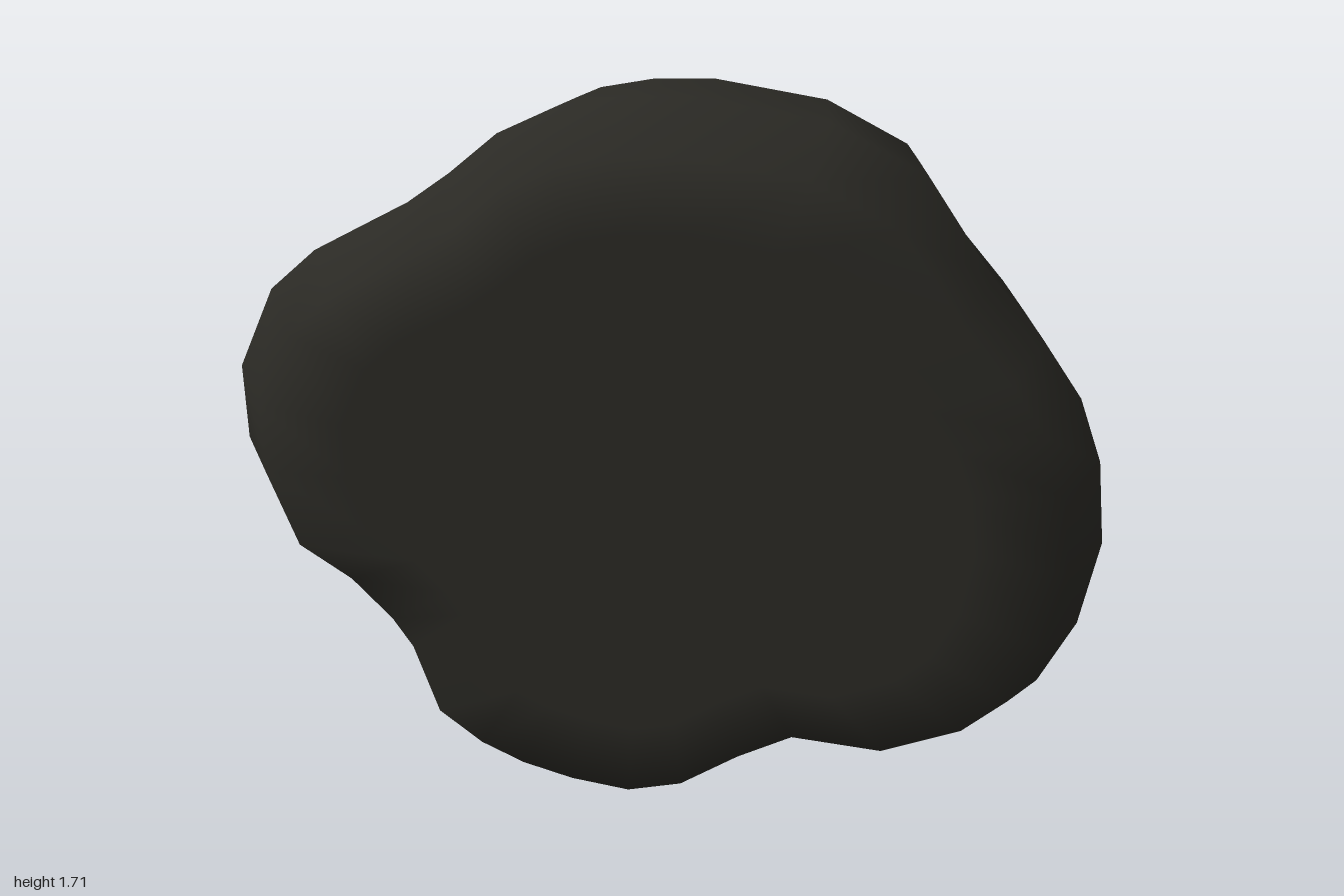
import * as THREE from 'three';

// Widest cross-section of the rock, counter-clockwise seen from the front
const OUTLINE = [
  [0.998, 0.71], [0.975, 0.91], [0.92, 1.06], [0.83, 1.19], [0.71, 1.33], [0.56, 1.55], [0.35, 1.66],
  [0.06, 1.708], [-0.1, 1.705], [-0.24, 1.68], [-0.37, 1.62], [-0.48, 1.53], [-0.58, 1.46], [-0.8, 1.345],
  [-0.91, 1.25], [-1, 1.06], [-1, 0.88], [-0.93, 0.68], [-0.8, 0.59], [-0.7, 0.48], [-0.65, 0.4],
  [-0.59, 0.21], [-0.48, 0.12], [-0.37, 0.065], [-0.24, 0.025], [-0.09, 0], [0.05, 0.03], [0.2, 0.125],
  [0.34, 0.195], [0.57, 0.17], [0.77, 0.245], [0.88, 0.34], [0.96, 0.5],
];
const CENTER_Y = 0.855;

// Rings from front to back: [z, scale, x shift]
const RINGS = [
  [0.565, 0.4, 0], [0.565, 0.7, 0], [0.565, 0.896, 0.005], [0.375, 1, 0], [0.12, 0.97, 0],
  [-0.14, 0.938, 0], [-0.45, 0.858, 0.007], [-0.54, 0.816, 0.007], [-0.565, 0.675, 0.007], [-0.565, 0.35, 0.007],
];
const MOSS_START = 7;

export function createModel() {
  const group = new THREE.Group();
  group.name = 'rock';
  const n = OUTLINE.length;
  const positions = [];
  for (const [z, s, dx] of RINGS) {
    for (const [x, y] of OUTLINE) positions.push(x * s + dx, CENTER_Y + (y - CENTER_Y) * s, z);
  }
  const frontCenter = n * RINGS.length;
  positions.push(0, CENTER_Y, 0.565, 0, CENTER_Y, -0.565);

  // Stitch neighbouring rings, then close both ends with fans
  const body = [], moss = [];
  for (let i = 0; i < n; i++) {
    const j = (i + 1) % n;
    body.push(frontCenter, i, j);
    for (let r = 0; r < RINGS.length - 1; r++) {
      const a = r * n + i, b = r * n + j;
      (r < MOSS_START ? body : moss).push(a, a + n, b, b, a + n, b + n);
    }
    const last = (RINGS.length - 1) * n;
    moss.push(frontCenter + 1, last + j, last + i);
  }

  // Normals come from the whole surface so the two parts blend smoothly
  const whole = new THREE.BufferGeometry();
  whole.setAttribute('position', new THREE.Float32BufferAttribute(positions, 3));
  whole.setIndex([...body, ...moss]);
  whole.computeVertexNormals();

  const addPart = (name, index, color) => {
    const geometry = whole.clone().setIndex(index);
    const mesh = new THREE.Mesh(geometry, new THREE.MeshStandardMaterial({ color }));
    mesh.name = name;
    group.add(mesh);
  };
  addPart('rockBody', body, 0x2b2a25);
  addPart('mossyBack', moss, 0x203027);
  return group;
}
